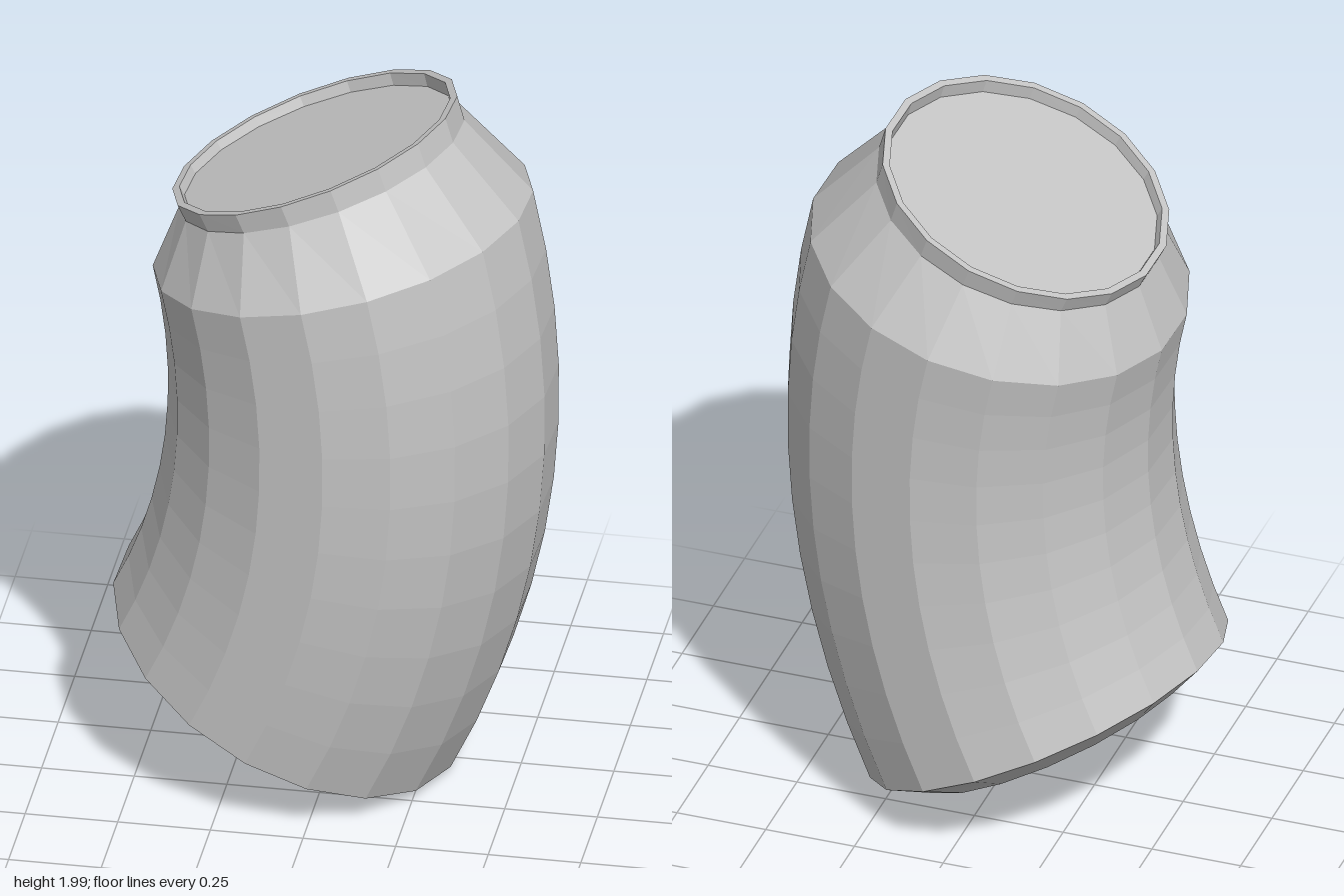
import * as THREE from 'three';

const SIDES = 18;
const BEND = 1.893;                       // radius of the bent centre line
const AZIMUTH = THREE.MathUtils.degToRad(12); // direction the can bulges towards
const CENTRE = new THREE.Vector3(-1.772, 1.13, -0.366);
const U = new THREE.Vector3(Math.cos(AZIMUTH), 0, Math.sin(AZIMUTH));
const V = new THREE.Vector3(-Math.sin(AZIMUTH), 0, Math.cos(AZIMUTH));

// Point on a ring of radius r, placed at an angle (degrees) along the bend.
function bentPoint(r, degrees, j) {
  const t = THREE.MathUtils.degToRad(degrees);
  const phi = (j % SIDES) / SIDES * Math.PI * 2;
  const d = BEND + r * Math.cos(phi);
  const p = CENTRE.clone().addScaledVector(U, d * Math.cos(t)).addScaledVector(V, r * Math.sin(phi));
  p.y += d * Math.sin(t);
  return p;
}

// Skin a profile of [radius, angle] rings; a zero radius closes the end.
function bentLathe(name, profile, material) {
  const pos = [];
  const tri = (...pts) => pts.forEach((p) => pos.push(p.x, p.y, p.z));
  for (let i = 0; i < profile.length - 1; i++) {
    const [r0, t0] = profile[i];
    const [r1, t1] = profile[i + 1];
    for (let j = 0; j < SIDES; j++) {
      const a = bentPoint(r0, t0, j), b = bentPoint(r1, t1, j);
      const c = bentPoint(r1, t1, j + 1), d = bentPoint(r0, t0, j + 1);
      if (r1 > 0) tri(a, b, c);
      if (r0 > 0) tri(a, c, d);
    }
  }
  const geometry = new THREE.BufferGeometry();
  geometry.setAttribute('position', new THREE.Float32BufferAttribute(pos, 3));
  geometry.computeVertexNormals();
  const mesh = new THREE.Mesh(geometry, material);
  mesh.name = name;
  return mesh;
}

export function createModel() {
  const group = new THREE.Group();
  group.name = 'bentCan';
  const metal = new THREE.MeshStandardMaterial({ color: 0xc4c4c4, flatShading: true });
  metal.name = 'light grey metal';

  // Curved wall
  const wall = [];
  const steps = 10;
  for (let i = 0; i <= steps; i++) {
    wall.push([0.52, THREE.MathUtils.lerp(-27.4, 14.4, i / steps)]);
  }

  group.add(
    // Recessed base, foot ring and lower bevel
    bentLathe('base', [[0, -27.6], [0.25, -27.6], [0.35, -28.6], [0.365, -29.4], [0.4, -29.4], [0.52, -27.4]], metal),
    bentLathe('wall', wall, metal),
    // Tapered shoulder
    bentLathe('shoulder', [[0.52, 14.4], [0.4, 20.4]], metal),
    // Lip, its inner side and the sunken lid
    bentLathe('lip', [[0.4, 20.4], [0.405, 22.2], [0.385, 22.2], [0.38, 21.2]], metal),
    bentLathe('lid', [[0.38, 21.2], [0, 21.2]], metal),
  );
  return group;
}
